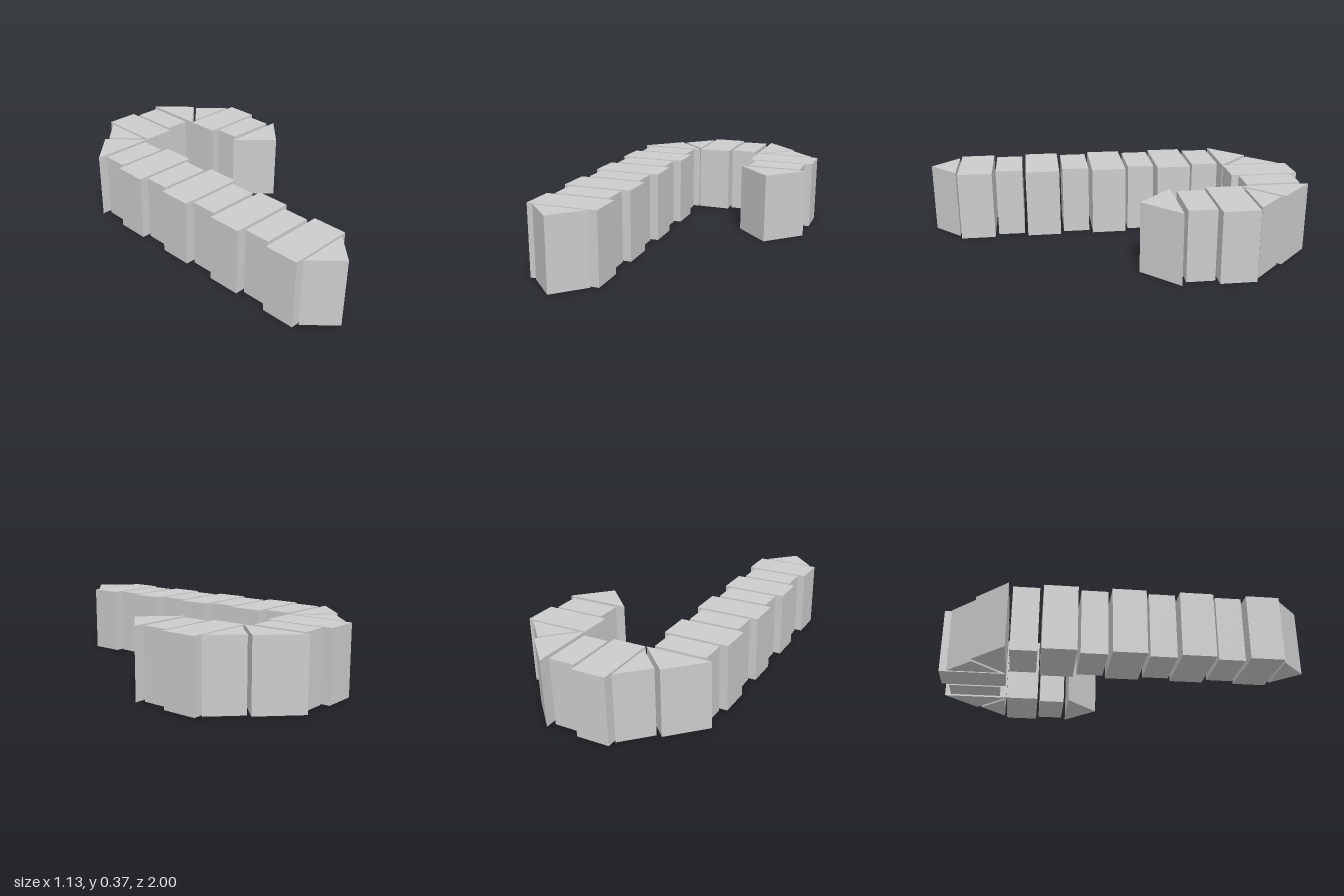
import * as THREE from 'three';

const HEIGHT = 0.37;
const LEAN = 0.507; // heading of the long straight run
const QUARTER = Math.PI / 2;
const LARGE = { width: 0.361, depth: 0.184 };
const SMALL = { width: 0.286, depth: 0.144 };

export function createModel() {
  const model = new THREE.Group();
  model.name = 'cane';
  const material = new THREE.MeshStandardMaterial({ color: 0xcccccc, flatShading: true });

  function place(name, geometry, x, z, turns) {
    const mesh = new THREE.Mesh(geometry, material);
    mesh.name = name;
    mesh.position.set(x, 0, z);
    mesh.rotation.y = LEAN + turns * QUARTER;
    model.add(mesh);
  }

  // Rectangular block centred on (x, z)
  function block(name, size, x, z, turns = 0) {
    const geometry = new THREE.BoxGeometry(size.width, HEIGHT, size.depth);
    geometry.translate(0, HEIGHT / 2, 0);
    place(name, geometry, x, z, turns);
  }

  // Right-angled prism: long face centred on (x, z), apex towards local +z
  function wedge(name, size, x, z, turns = 0) {
    const half = size.width / 2;
    const shape = new THREE.Shape([
      new THREE.Vector2(-half, 0),
      new THREE.Vector2(0, -half),
      new THREE.Vector2(half, 0),
    ]);
    const geometry = new THREE.ExtrudeGeometry(shape, { depth: HEIGHT, bevelEnabled: false });
    geometry.rotateX(-QUARTER);
    place(name, geometry, x, z, turns);
  }

  // Straight shaft of alternating large and small blocks
  for (let i = 0; i < 8; i++) {
    block(`shaftBlock${i + 1}`, i % 2 ? SMALL : LARGE, 0.258 - i * 0.0885, 0.779 - i * 0.16);
  }
  wedge('shaftTip', SMALL, 0.307, 0.87);

  // First corner of the hook
  wedge('firstCornerOuter', LARGE, -0.41, -0.4215, 2);
  wedge('firstCornerInner', SMALL, -0.346, -0.6625, -1);

  // Cross piece of the hook
  block('crossBlockLarge', LARGE, -0.257, -0.716, -1);
  block('crossBlockSmall', SMALL, -0.099, -0.801, -1);

  // Second corner of the hook
  wedge('secondCornerOuter', LARGE, -0.014, -0.848, 1);
  wedge('secondCornerInner', SMALL, 0.225, -0.789, 2);

  // Short returning end
  block('endBlockLarge', LARGE, 0.275, -0.696);
  block('endBlockSmall', SMALL, 0.361, -0.539);
  wedge('endTip', LARGE, 0.408, -0.453);

  return model;
}
